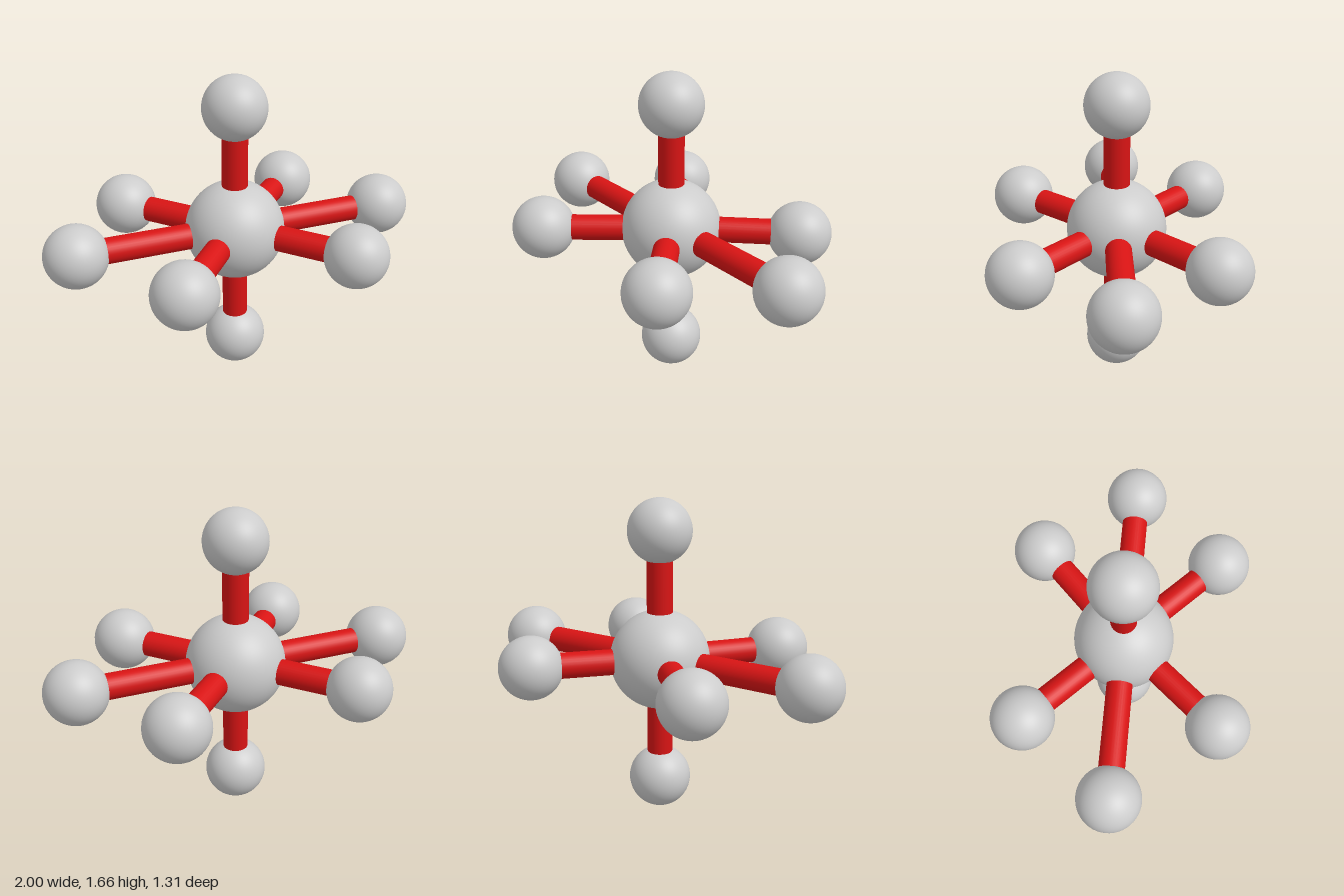
import * as THREE from 'three';

const ATOM_RADIUS = 0.164;
const CORE_RADIUS = 0.26;
const ROD_RADIUS = 0.067;

export function createModel() {
  const model = new THREE.Group();
  model.name = 'octahedralMolecule';
  const grey = new THREE.MeshStandardMaterial({ color: 0xcccccc });
  const red = new THREE.MeshStandardMaterial({ color: 0xd81414 });
  const atomGeometry = new THREE.SphereGeometry(ATOM_RADIUS, 48, 32);
  const center = new THREE.Vector3(0, 0.835, -0.02);

  // Large central atom
  const core = new THREE.Mesh(new THREE.SphereGeometry(CORE_RADIUS, 64, 40), grey);
  core.name = 'centralAtom';
  core.position.copy(center);
  model.add(core);

  // Outer atoms, each as an offset from the central atom
  const arms = {
    top: [0, 0.668, 0],
    bottom: [0, -0.668, 0],
    left: [0.836, 0, 0],
    right: [-0.836, 0, 0],
    backLeft: [0.47, 0, -0.473],
    backRight: [-0.47, 0, -0.473],
    frontLeft: [0.47, 0, 0.473],
    frontRight: [-0.43, 0, 0.512],
  };

  for (const [name, offset] of Object.entries(arms)) {
    const direction = new THREE.Vector3(...offset);
    const length = direction.length();

    const atom = new THREE.Mesh(atomGeometry, grey);
    atom.name = `${name}Atom`;
    atom.position.copy(center).add(direction);

    // Bond rod running from centre to centre
    const rod = new THREE.Mesh(
      new THREE.CylinderGeometry(ROD_RADIUS, ROD_RADIUS, length, 32, 1, true), red);
    rod.name = `${name}Bond`;
    rod.position.copy(center).addScaledVector(direction, 0.5);
    rod.quaternion.setFromUnitVectors(
      new THREE.Vector3(0, 1, 0), direction.clone().normalize());

    model.add(atom, rod);
  }
  return model;
}
